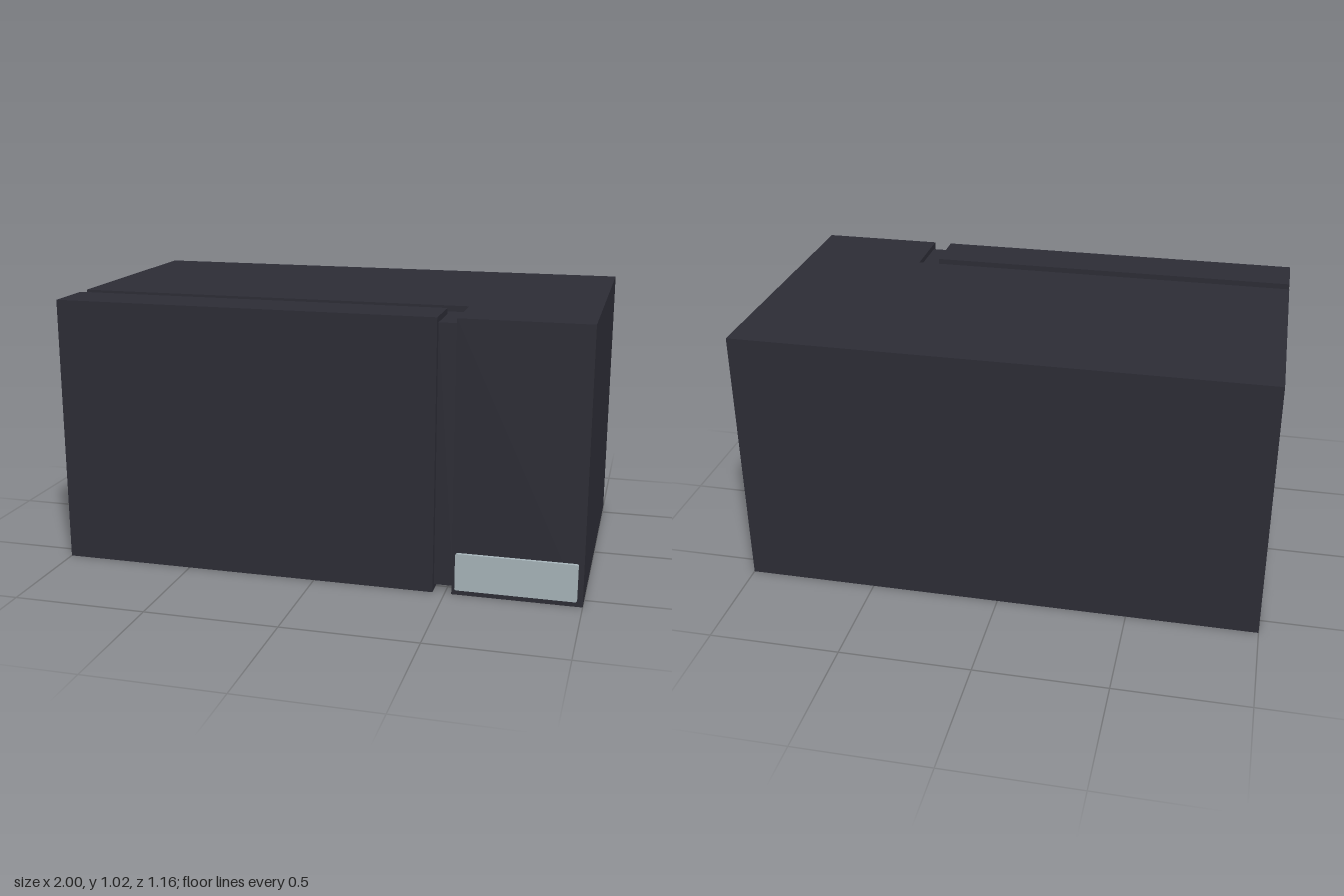
import * as THREE from 'three';

export function createModel() {
  const model = new THREE.Group();
  model.name = 'cabinetBlock';

  const charcoal = new THREE.MeshStandardMaterial({ color: 0x2d2d36 });
  charcoal.name = 'charcoal';
  const paleGrey = new THREE.MeshStandardMaterial({ color: 0xa9b7bc });
  paleGrey.name = 'pale grey';

  const add = (name, geometry, material) => {
    const mesh = new THREE.Mesh(geometry, material);
    mesh.name = name;
    model.add(mesh);
    return mesh;
  };

  // Extrudes a plan outline of [x, z] points from y0 up to y1
  const prism = (points, y0, y1) => {
    const shape = new THREE.Shape(points.map(([x, z]) => new THREE.Vector2(x, -z)));
    return new THREE.ExtrudeGeometry(shape, { depth: y1 - y0, bevelEnabled: false })
      .rotateX(-Math.PI / 2)
      .translate(0, y0, 0);
  };

  const height = 1.024, back = -0.578, front = 0.566;

  // L-shaped main body with a full-height pillar at the front
  add('body', prism([
    [-1, back], [1, back], [1, front], [0.525, front], [0.525, 0.315], [-1, 0.315],
  ], 0, height), charcoal);

  // Recessed strip that fills the gap behind and beside the door
  add('gapSeal', prism([
    [-0.98, 0.315], [0.525, 0.315], [0.525, 0.54], [0.455, 0.54], [0.455, 0.37], [-0.98, 0.37],
  ], 0.022, 1.002), charcoal);

  // Door slab
  add('door', prism([
    [-1, 0.37], [0.455, 0.37], [0.455, front], [-1, front],
  ], 0, height), charcoal);

  // Label plate with softened corners at the foot of the pillar
  const x0 = 0.538, x1 = 0.98, y0 = 0.022, y1 = 0.163, r = 0.007;
  const outline = new THREE.Shape();
  outline.absarc(x1 - r, y1 - r, r, 0, Math.PI / 2);
  outline.absarc(x0 + r, y1 - r, r, Math.PI / 2, Math.PI);
  outline.absarc(x0 + r, y0 + r, r, Math.PI, Math.PI * 1.5);
  outline.absarc(x1 - r, y0 + r, r, Math.PI * 1.5, Math.PI * 2);
  add('labelPlate', new THREE.ExtrudeGeometry(outline, {
    depth: 0.013, bevelEnabled: false, curveSegments: 4,
  }), paleGrey).position.z = front;

  return model;
}
